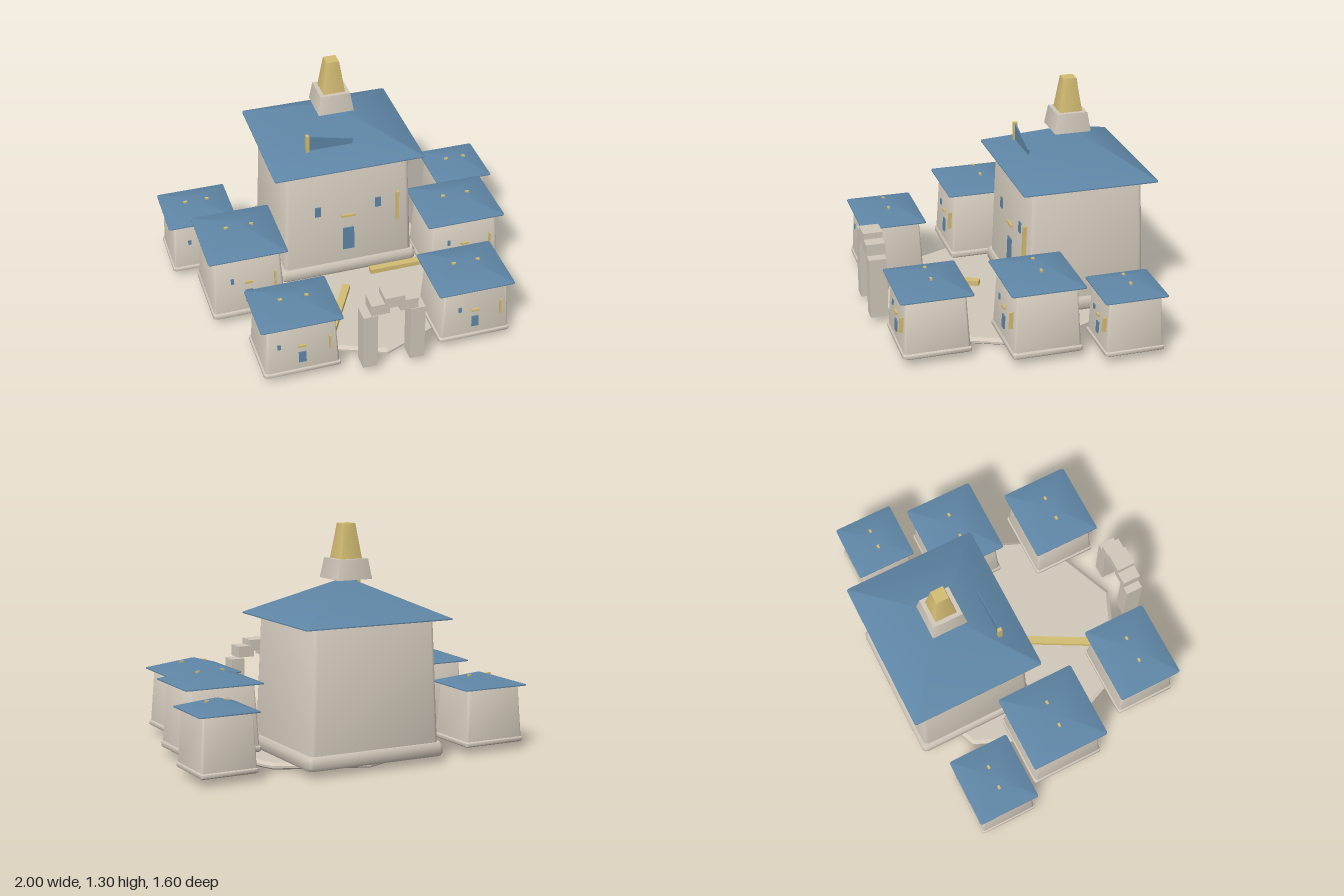
import * as THREE from 'three';
import { toCreasedNormals } from 'three/addons/utils/BufferGeometryUtils.js';

const mat = (name, color) => {
  const m = new THREE.MeshStandardMaterial({ color });
  m.name = name;
  return m;
};

// Solid through rounded-rectangle sections; each level is [y, halfWidth, halfDepth, cornerRadius]
function loft(levels) {
  const pos = [], idx = [];
  const sx = [1, 1, -1, -1], sz = [1, -1, -1, 1];
  for (const [y, hw, hd, r] of levels) {
    for (let c = 0; c < 4; c++) {
      for (let s = 0; s < 3; s++) {
        const a = (c + s / 2) * Math.PI / 2;
        pos.push(sx[c] * (hw - r) + r * Math.sin(a), y, sz[c] * (hd - r) + r * Math.cos(a));
      }
    }
  }
  const n = 12, top = (levels.length - 1) * n;
  for (let l = 0; l < levels.length - 1; l++) {
    for (let i = 0; i < n; i++) {
      const a = l * n + i, b = l * n + (i + 1) % n;
      idx.push(a, b, b + n, a, b + n, a + n);
    }
  }
  for (let i = 1; i < n - 1; i++) {
    idx.push(0, i + 1, i);
    idx.push(top, top + i, top + i + 1);
  }
  const g = new THREE.BufferGeometry();
  g.setAttribute('position', new THREE.Float32BufferAttribute(pos, 3));
  g.setIndex(idx);
  return toCreasedNormals(g, 0.9);
}

export function createModel() {
  const stone = mat('stone', 0xd1c8ba);
  const blue = mat('blue', 0x5f86a6);
  const gold = mat('gold', 0xd4bd73);
  const model = new THREE.Group();
  model.name = 'village';

  const add = (parent, name, geo, material, x = 0, y = 0, z = 0) => {
    const m = new THREE.Mesh(geo, material);
    m.name = name;
    m.position.set(x, y, z);
    parent.add(m);
    return m;
  };
  const box = (w, h, d) => new THREE.BoxGeometry(w, h, d);

  // Octagonal courtyard slab with a bevelled rim
  const rim = [[0, 0], [0.675, 0], [0.69, 0.01], [0.69, 0.022], [0.668, 0.036], [0, 0.036]];
  const slab = new THREE.LatheGeometry(rim.map(p => new THREE.Vector2(...p)), 8);
  add(model, 'courtyard', toCreasedNormals(slab, 0.3), stone, 0.012, 0, 0);

  // Tapered house: plinth, walls, hipped roof and front details
  const y0 = 0.04;
  function house(o) {
    const g = new THREE.Group();
    g.name = o.name;
    g.position.set(o.x, 0, o.z);
    model.add(g);
    const { hw, hd, eave, apex, foot, plinth } = o;
    const h = eave - y0, yp = y0 + 0.1 * h, r = 0.06 * hw, headRatio = 0.825;
    const section = (y, k, inset = 0) => [y, hw * k - inset, hd * k - inset, r];

    add(g, 'plinth', loft([
      section(y0, plinth, 0.008), section(y0 + 0.02 * h, plinth),
      section(yp - 0.025 * h, plinth), section(yp, plinth, 0.01),
    ]), stone);
    add(g, 'walls', loft([
      section(yp - 0.005, foot), section(eave - 0.02 * h, headRatio + 0.002),
      section(eave + 0.002, headRatio, 0.008),
    ]), stone);
    add(g, 'roof', loft([
      [eave, hw, hd, 0.012], [eave + 0.006, hw, hd, 0.012], [apex, 0.004, 0.004, 0.001],
    ]), blue);

    // Details lie on the sloping front wall; u is across, v is up the wall
    const tilt = -Math.atan(hd * (foot - headRatio) / (eave - yp));
    const detail = (name, u, v, w, ht, d, material) => {
      const y = y0 + v * h;
      const t = (y - yp) / (eave - yp);
      const z = hd * (foot + (headRatio - foot) * t);
      add(g, name, box(w, ht, d), material, u * hw, y, z + d / 2 - 0.002).rotation.x = tilt;
    };
    const big = o.big;
    detail('door', 0, big ? 0.313 : 0.33, big ? 0.068 : 0.18 * hw, 0.2 * h, 0.009, blue);
    detail('lintel', 0, big ? 0.53 : 0.56, 0.19 * hw, 0.014, 0.015, gold);
    detail('signPole', 0.67, 0.55, big ? 0.016 : 0.009, 0.255 * h, 0.024, gold);
    for (const s of big ? [-1, 1] : [-1]) {
      detail('window', s * (o.win || 0.41), 0.605, big ? 0.034 : 0.018, 0.085 * h, 0.009, blue);
    }
    // Small ornaments on the roof slopes
    if (!big) {
      for (const s of [-1, 1]) {
        add(g, 'roofOrnament', box(0.022, 0.016, 0.014), gold,
          s * 0.32 * hw, eave + (apex - eave) * 0.68 + 0.003, 0);
      }
    }
    return g;
  }

  const small = { foot: 0.91, plinth: 0.945 };
  [
    { name: 'frontRightHouse', x: -0.49, z: 0.55, hw: 0.232, hd: 0.192, eave: 0.375, apex: 0.45, win: 0.56 },
    { name: 'frontLeftHouse', x: 0.515, z: 0.537, hw: 0.222, hd: 0.202, eave: 0.38, apex: 0.458 },
    { name: 'middleRightHouse', x: -0.645, z: -0.055, hw: 0.23, hd: 0.233, eave: 0.45, apex: 0.54 },
    { name: 'middleLeftHouse', x: 0.66, z: -0.033, hw: 0.234, hd: 0.208, eave: 0.42, apex: 0.502 },
    { name: 'backRightHouse', x: -0.797, z: -0.51, hw: 0.203, hd: 0.182, eave: 0.362, apex: 0.43 },
    { name: 'backLeftHouse', x: 0.827, z: -0.488, hw: 0.173, hd: 0.178, eave: 0.362, apex: 0.427 },
  ].forEach(o => house({ ...small, ...o }));

  // Great hall with its spire
  const hall = house({
    name: 'greatHall', x: 0.015, z: -0.41, hw: 0.445, hd: 0.39,
    eave: 0.79, apex: 1.005, foot: 0.88, plinth: 0.933, big: true,
  });
  add(hall, 'spireBase', loft([[1.0, 0.105, 0.105, 0.001], [1.11, 0.088, 0.088, 0.001]]), stone);
  add(hall, 'spire', loft([[1.11, 0.064, 0.064, 0.001], [1.3, 0.037, 0.037, 0.001]]), gold);

  // Pole and pennant on the hall roof
  add(model, 'pennantPole', box(0.02, 0.115, 0.024), gold, -0.2, 0.918, -0.165);
  const flag = new THREE.Shape([[-0.2, 0.875], [0.065, 0.875], [0.07, 0.905], [-0.2, 0.968]]
    .map(p => new THREE.Vector2(...p)));
  add(model, 'pennant', new THREE.ExtrudeGeometry(flag, { depth: 0.008, bevelEnabled: false }),
    blue, 0, 0, -0.169);

  // Gilded paths on the courtyard
  const path = (x1, z1, x2, z2, w) => {
    const dx = x2 - x1, dz = z2 - z1;
    add(model, 'path', box(Math.hypot(dx, dz), 0.03, w), gold, (x1 + x2) / 2, 0.05, (z1 + z2) / 2)
      .rotation.y = -Math.atan2(dz, dx);
  };
  path(-0.05, 0.095, -0.27, 0.5, 0.045);
  path(0.13, -0.008, 0.5, -0.008, 0.042);

  // Entrance gate with a stepped arch
  const gate = new THREE.Group();
  gate.name = 'gate';
  gate.position.set(0.0125, 0, 0.743);
  model.add(gate);
  for (const s of [-1, 1]) {
    add(gate, 'gateLeg', box(0.083, 0.355, 0.1), stone, s * 0.136, 0.2175, 0);
    add(gate, 'gateShoulder', box(0.103, 0.067, 0.108), stone, s * 0.082, 0.437, 0);
  }
  add(gate, 'gateCrown', box(0.115, 0.068, 0.11), stone, 0, 0.472, 0);

  return model;
}
